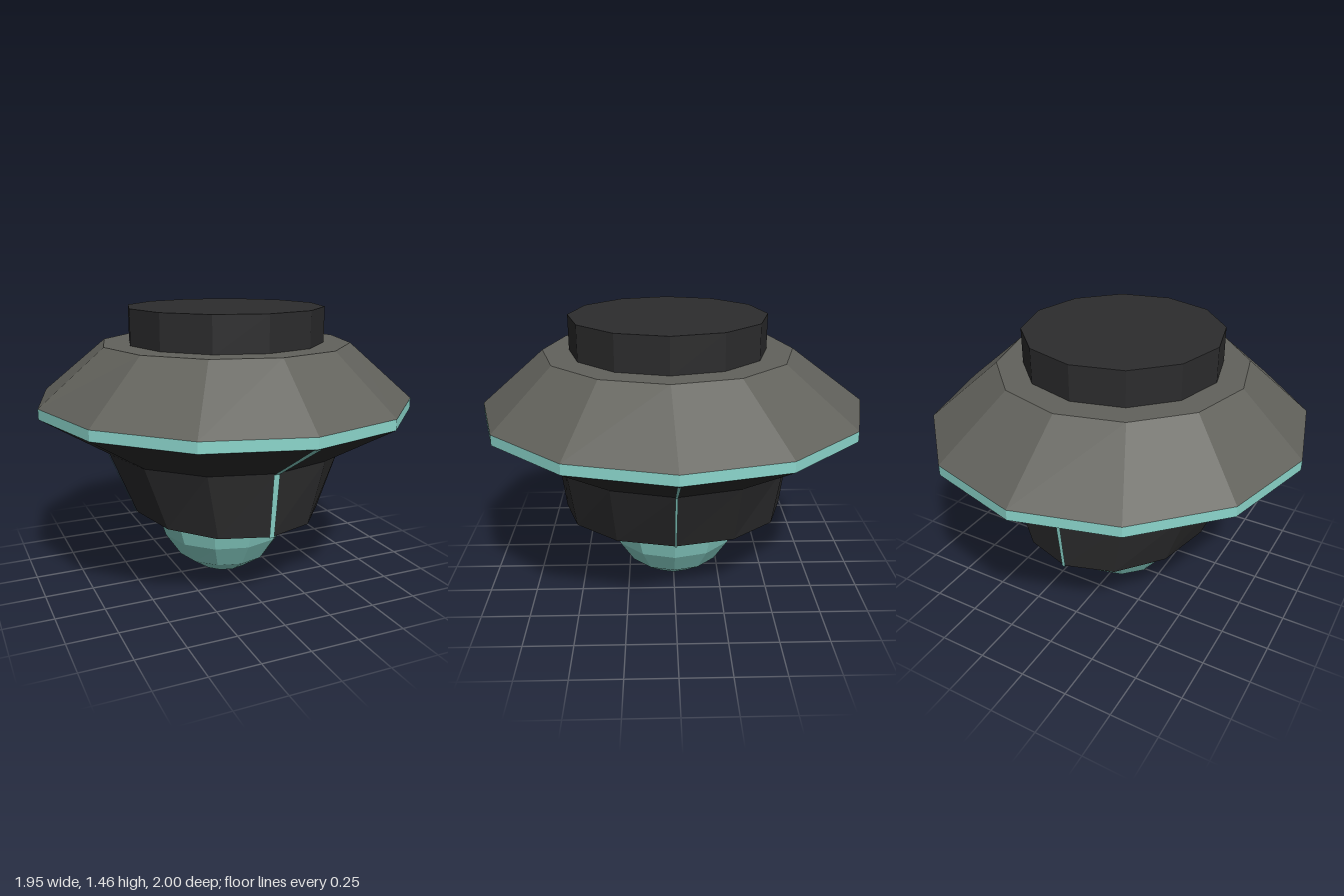
import * as THREE from 'three';

const SIDES = 12;

const dark = new THREE.MeshStandardMaterial({ name: 'charcoal', color: 0x2c2c2d });
const grey = new THREE.MeshStandardMaterial({ name: 'warm grey', color: 0x62625c });
const teal = new THREE.MeshStandardMaterial({ name: 'pale teal', color: 0x8cd7cd });

// Point on an elliptical ring [rx, rz, y, centreZ]; angle 0 faces +z
const ringPoint = ([rx, rz, y, cz = 0], i) => {
  const a = (i % SIDES) / SIDES * Math.PI * 2;
  return [rx * Math.sin(a), y, cz + rz * Math.cos(a)];
};

function faceted(name, positions, material) {
  const g = new THREE.BufferGeometry();
  g.setAttribute('position', new THREE.Float32BufferAttribute(positions, 3));
  g.computeVertexNormals(); // unshared corners give flat facets
  const mesh = new THREE.Mesh(g, material);
  mesh.name = name;
  return mesh;
}

// Joins rings from bottom to top; a ring of zero radius closes the end
function loft(name, rings, material) {
  const pos = [];
  for (let r = 0; r < rings.length - 1; r++) {
    const lo = rings[r], hi = rings[r + 1];
    for (let i = 0; i < SIDES; i++) {
      const a = ringPoint(lo, i), b = ringPoint(lo, i + 1);
      const c = ringPoint(hi, i + 1), d = ringPoint(hi, i);
      if (lo[0] > 0) pos.push(...a, ...b, ...c);
      if (hi[0] > 0) pos.push(...a, ...c, ...d);
      else if (lo[0] === 0) continue;
    }
  }
  return faceted(name, pos, material);
}

// Thin ribbon down the hull at one compass direction
function seam(name, angle, path, widthScale) {
  const pos = [];
  const sin = Math.sin(angle), cos = Math.cos(angle);
  const alongX = Math.abs(sin) > 0.5;
  const corner = ([rx, rz, y, w], side) => {
    const r = (alongX ? rx : rz) + 0.004;
    const s = side * w * widthScale;
    return [sin * r + cos * s, y - 0.003, cos * r - sin * s];
  };
  for (let i = 0; i < path.length - 1; i++) {
    const A = path[i], B = path[i + 1];
    const b0 = corner(B, -1), b1 = corner(B, 1), a1 = corner(A, 1), a0 = corner(A, -1);
    pos.push(...b0, ...b1, ...a1, ...b0, ...a1, ...a0);
  }
  return faceted(name, pos, teal);
}

export function createModel() {
  const model = new THREE.Group();
  model.name = 'hoveringSaucer';

  const rimLow = [0.975, 1, 0.94], rimHigh = [0.975, 1, 0.993];
  const waist = [0.63, 0.633, 0.727], base = [0.493, 0.592, 0.393];
  const shoulder = [0.645, 0.647, 1.277, 0.027];

  model.add(
    // Glowing dome underneath
    loft('lowerDome', [
      [0, 0, 0], [0.135, 0.14, 0.03], [0.252, 0.256, 0.11],
      [0.337, 0.337, 0.236], [0.392, 0.392, 0.4],
    ], teal),
    // Dark lower hull with a flat underside
    loft('lowerHull', [[0, 0, 0.393], base, waist, rimLow], dark),
    // Bright band round the widest part
    loft('rimBand', [rimLow, rimHigh], teal),
    // Sloping upper hull with its flat deck
    loft('upperHull', [rimHigh, shoulder, [0, 0, 1.277, 0.027]], grey),
    // Raised cap, set slightly forward
    loft('topCap', [
      [0.51, 0.51, 1.27, 0.027], [0.51, 0.51, 1.458, 0.027], [0, 0, 1.458, 0.027],
    ], dark),
  );

  // Four seams: front, left, back, right
  const path = [
    [0.965, 0.99, 0.94, 0.02], [0.63, 0.633, 0.727, 0.016],
    [0.493, 0.592, 0.393, 0.013], [0.37, 0.37, 0.393, 0.013],
  ];
  const scales = [1, 0.4, 0.7, 0.6];
  ['frontSeam', 'leftSeam', 'backSeam', 'rightSeam'].forEach((name, i) =>
    model.add(seam(name, i * Math.PI / 2, path, scales[i])));

  return model;
}
